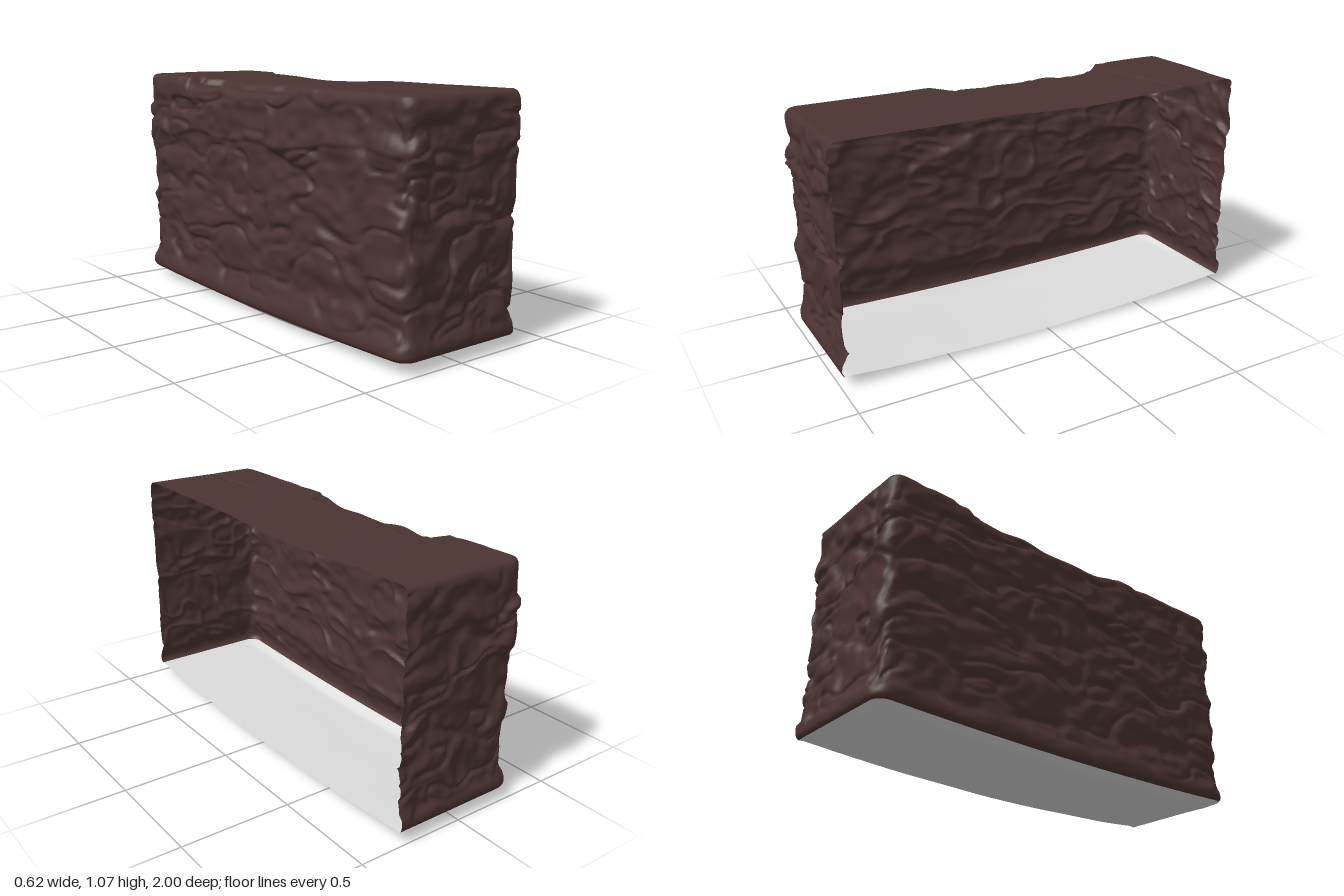
import * as THREE from 'three';

const { smoothstep, lerp, clamp } = THREE.MathUtils;
const OPEN_X = 0.305, LEFT_X = -0.294, HALF_Z = 0.985, CORNER = 0.06, TOP = 1.058;

// Smooth, repeatable value noise in 0..1
function hash(i, j, k) {
  const s = Math.sin(i * 127.1 + j * 311.7 + k * 74.7) * 43758.5453;
  return s - Math.floor(s);
}
function noise(x, y, z) {
  const i = Math.floor(x), j = Math.floor(y), k = Math.floor(z);
  const f = (t) => t * t * (3 - 2 * t);
  const u = f(x - i), v = f(y - j), w = f(z - k);
  const edge = (b, c) => lerp(hash(i, b, c), hash(i + 1, b, c), u);
  const face = (c) => lerp(edge(j, c), edge(j + 1, c), v);
  return lerp(face(k), face(k + 1), w);
}

// Lumpy side relief: soft mounds, sharp furrows, broken ledges and a fine grain
function relief(x, y, z) {
  const warp = noise(x * 6, y * 6, z * 5) * 1.6;
  const mound = noise(x * 11 + warp, y * 12 + warp, z * 7 + 3) - 0.5;
  const furrow = Math.abs(noise(x * 9 + 20, y * 13 + warp, z * 6 + 9) * 2 - 1);
  const grain = noise(x * 24, y * 26 + warp, z * 17) - 0.5;
  const ledgeY = 0.8 + 0.14 * (noise(x * 3 + 5, 2, z * 4) - 0.5);
  const ledge = smoothstep(y, ledgeY - 0.012, ledgeY + 0.006) * (1 - smoothstep(y, ledgeY, ledgeY + 0.12));
  return mound * 0.028 + Math.min(furrow, 0.3) * 0.045 + grain * 0.013 + ledge * 0.011 - 0.016;
}

// Height of the coated top: a raised end slab, a sagging middle, a chipped left edge and a crack
function topY(x, z) {
  const sag = 0.016 * Math.exp(-(((z + 0.2) / 0.33) ** 2));
  const slab = 0.007 * (1 - smoothstep(z + x * 0.25, -0.625, -0.605));
  const chipped = smoothstep(z, -0.6, -0.57) * (1 - smoothstep(z, 0.22, 0.3));
  const rim = lerp(-0.275, -0.19, chipped) + 0.09 * (noise(3, 7, z * 11) - 0.5);
  const depth = 0.012 + 0.026 * chipped * noise(8, 2, z * 7);
  const chip = depth * (1 - smoothstep(x, rim - 0.02, rim + 0.01));
  const crackX = -0.04 + 0.02 * (noise(1, 2, z * 9) - 0.5);
  const crack = 0.012 * Math.exp(-(((x - crackX) / 0.012) ** 2))
    * smoothstep(z, 0.5, 0.6) * (1 - smoothstep(z, 0.93, 0.97));
  return TOP + slab - sag - chip - crack + 0.006 * (noise(x * 5, 4, z * 4) - 0.5);
}
const rimY = (z) => 0.03 + 0.022 * z * z;
const floorY = (x, z) => -0.001 + 0.04 * z * z + 0.016 * smoothstep(x, -0.25, 0.3)
  + 0.004 * noise(x * 4, 1, z * 4);

// Surface through equal-length rows of points
function skin(rows) {
  const n = rows[0].length, index = [];
  for (let r = 0; r < rows.length - 1; r++) {
    for (let c = 0; c < n - 1; c++) {
      const a = r * n + c, b = a + 1, d = a + n, e = d + 1;
      index.push(a, d, b, b, d, e);
    }
  }
  const geometry = new THREE.BufferGeometry().setFromPoints(rows.flat());
  geometry.setIndex(index);
  geometry.computeVertexNormals();
  return geometry;
}

// U-shaped plan of the three walls, with outward normals
function plan(count) {
  const path = new THREE.Path();
  const cx = LEFT_X + CORNER, cz = HALF_Z - CORNER;
  path.moveTo(OPEN_X, HALF_Z);
  path.lineTo(cx, HALF_Z);
  path.absarc(cx, cz, CORNER, Math.PI / 2, Math.PI, false);
  path.lineTo(LEFT_X, -cz);
  path.absarc(cx, -cz, CORNER, Math.PI, Math.PI * 1.5, false);
  path.lineTo(OPEN_X, -HALF_Z);
  const pts = path.getSpacedPoints(count);
  return pts.map((p, i) => {
    const t = pts[Math.min(i + 1, count)].clone().sub(pts[Math.max(i - 1, 0)]).normalize();
    return { x: p.x, z: p.y, nx: t.y, nz: -t.x };
  });
}

// Rows running from a rim towards the middle of the open side
function capRows(rim, steps, height) {
  const rows = [];
  for (let k = 1; k <= steps; k++) {
    const s = k / steps;
    rows.push(rim.map((p) => {
      const x = lerp(p.x, OPEN_X, s), z = lerp(p.z, clamp(p.z, -0.6, 0.6), s);
      return new THREE.Vector3(x, height(x, z, s, p), z);
    }));
  }
  return rows;
}

export function createModel() {
  const chocolate = new THREE.MeshStandardMaterial({ color: 0x4b3432, side: THREE.DoubleSide });
  chocolate.name = 'dark chocolate';
  const pale = new THREE.MeshStandardMaterial({ color: 0xdcdcdc, side: THREE.DoubleSide });
  pale.name = 'pale base';

  // Wall profile as (outward offset, height): foot bulge, flat side, rounded shoulder
  const profile = new THREE.CatmullRomCurve3([
    [-0.002, 0.05], [0.01, 0.065], [0.011, 0.1], [0.002, 0.125], [-0.004, 0.15],
    [-0.003, 0.4], [-0.001, 0.7], [0, 0.92], [0.003, 1.0], [-0.002, 1.032],
    [-0.014, 1.05], [-0.035, TOP],
  ].map(([d, y]) => new THREE.Vector3(d, y, 0)), false, 'centripetal').getSpacedPoints(115);

  const outline = plan(340);
  const walls = profile.map(({ x: d, y }) => outline.map((p) => {
    const rough = smoothstep(y, 0.06, 0.16) * (1 - smoothstep(y, 0.98, TOP));
    const out = d + rough * relief(p.x, y, p.z);
    const x = p.x + p.nx * out, z = p.z + p.nz * out;
    const h = y + (topY(x, z) - TOP) * smoothstep(y, 0.9, TOP)
      + (rimY(z) - 0.05) * (1 - smoothstep(y, 0.05, 0.14));
    return new THREE.Vector3(x, h, z);
  }));

  // Walls and top are one continuous coating
  const top = capRows(walls[walls.length - 1], 50, topY);
  const coating = new THREE.Mesh(skin([...walls, ...top]), chocolate);
  coating.name = 'coating';

  // Thin sagging base
  const rim = walls[0];
  const base = capRows(rim, 30, (x, z, s, p) =>
    lerp(p.y, floorY(x, z), smoothstep(s, 0, 0.08)));
  const floor = new THREE.Mesh(skin([...base.reverse(), rim]), pale);
  floor.name = 'base';

  const model = new THREE.Group();
  model.name = 'coatedBlock';
  model.add(coating, floor);
  return model;
}
